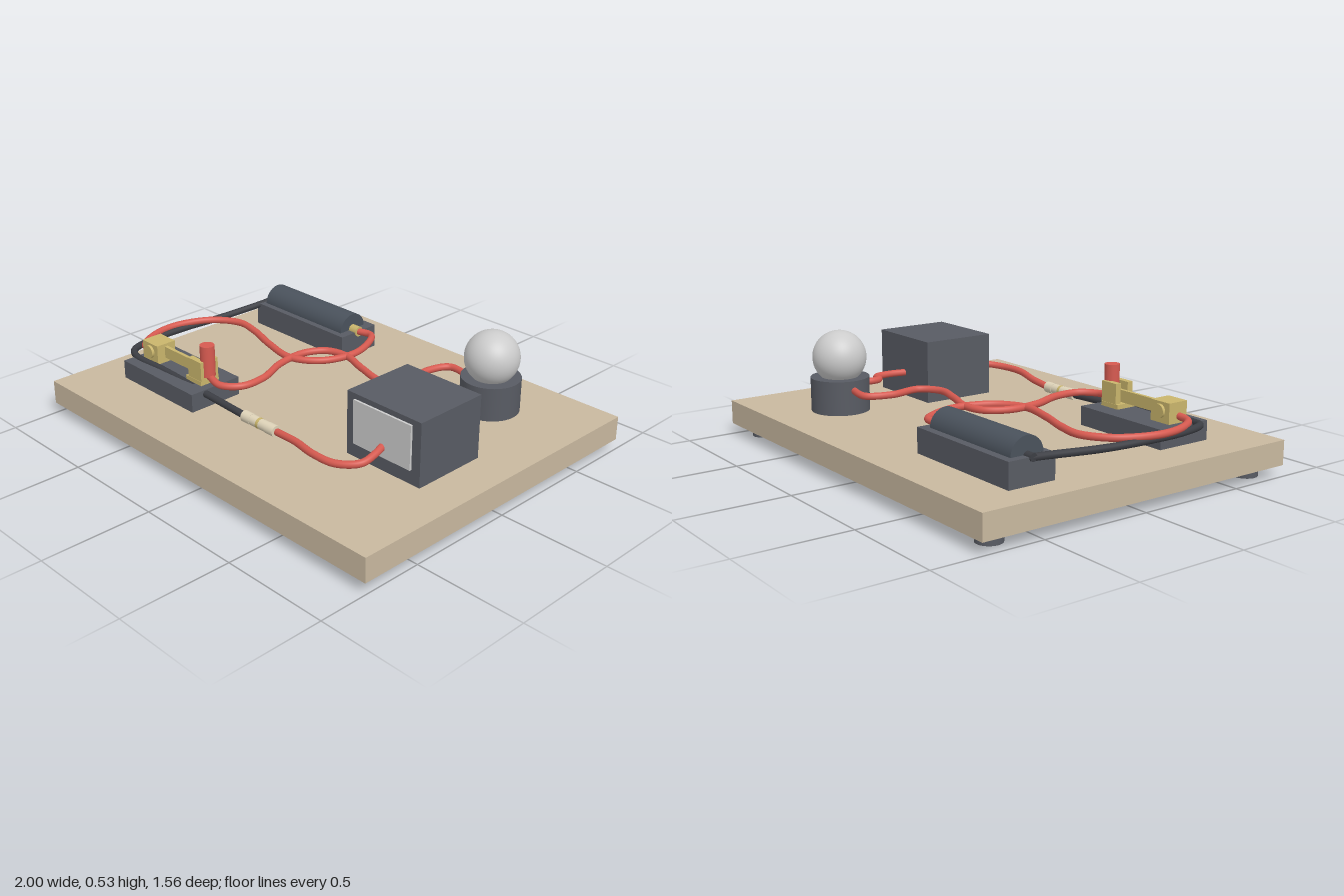
import * as THREE from 'three';

const mat = (color) => new THREE.MeshStandardMaterial({ color });

export function createModel() {
  const model = new THREE.Group();
  const wood = mat(0xc8b89f), dark = mat(0x585b63), black = mat(0x3c3e44), cell = mat(0x4a525c);
  const red = mat(0xd65a50), brass = mat(0xc9b56c), cream = mat(0xded3b8), grey = mat(0xcccccc);

  const add = (name, geometry, material, x = 0, y = 0, z = 0, parent = model) => {
    const mesh = new THREE.Mesh(geometry, material);
    mesh.name = name;
    mesh.position.set(x, y, z);
    parent.add(mesh);
    return mesh;
  };
  // Box given by its limits on each axis
  const box = (name, material, [x0, x1], [y0, y1], [z0, z1], parent) =>
    add(name, new THREE.BoxGeometry(x1 - x0, y1 - y0, z1 - z0), material,
      (x0 + x1) / 2, (y0 + y1) / 2, (z0 + z1) / 2, parent);
  // Cylinder along a chosen axis
  const rod = (name, material, r, length, x, y, z, axis = 'y', parent = model) => {
    const g = new THREE.CylinderGeometry(r, r, length, 40);
    if (axis === 'x') g.rotateZ(-Math.PI / 2);
    if (axis === 'z') g.rotateX(Math.PI / 2);
    return add(name, g, material, x, y, z, parent);
  };
  const wire = (name, material, r, points) => {
    const curve = new THREE.CatmullRomCurve3(points.map((p) => new THREE.Vector3(...p)));
    add(name, new THREE.TubeGeometry(curve, points.length * 12, r, 14), material);
  };
  const group = (name) => {
    const g = new THREE.Group();
    g.name = name;
    model.add(g);
    return g;
  };

  // Board on four round feet
  box('board', wood, [-1, 1], [0.05, 0.16], [-0.78, 0.78]);
  for (const x of [-0.89, 0.89]) {
    for (const z of [-0.67, 0.67]) rod('foot', dark, 0.055, 0.052, x, 0.026, z);
  }

  // Battery lying in its holder
  const battery = group('battery');
  box('batteryHolder', dark, [-0.86, -0.255], [0.16, 0.27], [-0.56, -0.34], battery);
  rod('batteryCell', cell, 0.078, 0.53, -0.56, 0.268, -0.447, 'x', battery);
  rod('positiveTerminal', brass, 0.024, 0.05, -0.275, 0.27, -0.447, 'x', battery);
  rod('negativeTerminal', black, 0.017, 0.05, -0.84, 0.268, -0.447, 'x', battery);

  // Knife switch: pivot block, blade, clip and handle
  const knife = group('knifeSwitch');
  box('switchBase', dark, [-0.805, -0.31], [0.16, 0.245], [0.255, 0.52], knife);
  box('pivotBlock', brass, [-0.768, -0.66], [0.245, 0.335], [0.335, 0.435], knife);
  rod('pivotPin', brass, 0.03, 0.125, -0.714, 0.295, 0.385, 'z', knife);
  box('blade', brass, [-0.66, -0.36], [0.268, 0.322], [0.377, 0.393], knife);
  box('clipFloor', brass, [-0.455, -0.35], [0.245, 0.265], [0.335, 0.435], knife);
  for (const s of [-1, 1]) {
    box('clipJaw', brass, [-0.44, -0.35], [0.25, 0.355],
      [0.385 + s * 0.034 - 0.014, 0.385 + s * 0.034 + 0.014], knife);
  }
  rod('handle', red, 0.033, 0.145, -0.36, 0.353, 0.385, 'y', knife);

  // Bulb on a round socket
  const bulb = group('bulb');
  rod('bulbSocket', dark, 0.133, 0.155, 0.555, 0.2375, -0.447, 'y', bulb);
  add('bulbGlobe', new THREE.SphereGeometry(0.122, 48, 32), grey, 0.555, 0.404, -0.447, bulb);

  // Meter with a light window
  const meter = group('meter');
  box('meterCase', dark, [0.41, 0.81], [0.16, 0.447], [-0.065, 0.288], meter);
  box('meterWindow', grey, [0.453, 0.765], [0.225, 0.423], [0.28, 0.298], meter);

  // Fuse with end caps and a thin band
  const fuse = group('fuse');
  rod('fuseBody', cream, 0.024, 0.2, 0.05, 0.215, 0.442, 'x', fuse);
  for (const x of [-0.025, 0.125]) rod('fuseCap', cream, 0.0255, 0.05, x, 0.215, 0.442, 'x', fuse);
  rod('fuseBand', brass, 0.0248, 0.015, 0.05, 0.215, 0.442, 'x', fuse);

  // Wires
  wire('batteryToFuseWire', black, 0.016, [
    [-0.85, 0.265, -0.447], [-0.855, 0.26, -0.35], [-0.88, 0.25, -0.12], [-0.9, 0.25, 0.1],
    [-0.895, 0.25, 0.3], [-0.86, 0.25, 0.42], [-0.8, 0.245, 0.45], [-0.6, 0.24, 0.445],
    [-0.3, 0.225, 0.442], [-0.05, 0.215, 0.442]]);
  wire('batteryToSwitchWire', red, 0.016, [
    [-0.26, 0.27, -0.447], [-0.185, 0.27, -0.46], [-0.125, 0.27, -0.38], [-0.09, 0.27, -0.24],
    [-0.14, 0.27, -0.09], [-0.26, 0.27, -0.015], [-0.44, 0.27, -0.045], [-0.6, 0.27, -0.095],
    [-0.73, 0.27, -0.11], [-0.85, 0.27, -0.03], [-0.915, 0.27, 0.13], [-0.9, 0.27, 0.27],
    [-0.83, 0.27, 0.38], [-0.75, 0.275, 0.395]]);
  wire('switchToBulbWire', red, 0.016, [
    [-0.35, 0.275, 0.385], [-0.26, 0.27, 0.4], [-0.19, 0.27, 0.34], [-0.185, 0.27, 0.22],
    [-0.245, 0.27, 0.06], [-0.255, 0.27, -0.09], [-0.2, 0.27, -0.185], [-0.1, 0.27, -0.21],
    [0.05, 0.27, -0.165], [0.2, 0.27, -0.135], [0.285, 0.27, -0.2], [0.265, 0.27, -0.35],
    [0.31, 0.27, -0.46], [0.44, 0.27, -0.447]]);
  wire('fuseToMeterWire', red, 0.016, [
    [0.155, 0.215, 0.442], [0.28, 0.225, 0.455], [0.42, 0.235, 0.487], [0.54, 0.238, 0.48],
    [0.62, 0.248, 0.42], [0.625, 0.262, 0.35], [0.61, 0.272, 0.285]]);
  wire('meterToBulbWire', red, 0.016, [
    [0.61, 0.27, -0.05], [0.625, 0.27, -0.15], [0.61, 0.27, -0.22], [0.56, 0.27, -0.238],
    [0.548, 0.27, -0.275], [0.56, 0.27, -0.34]]);

  return model;
}
